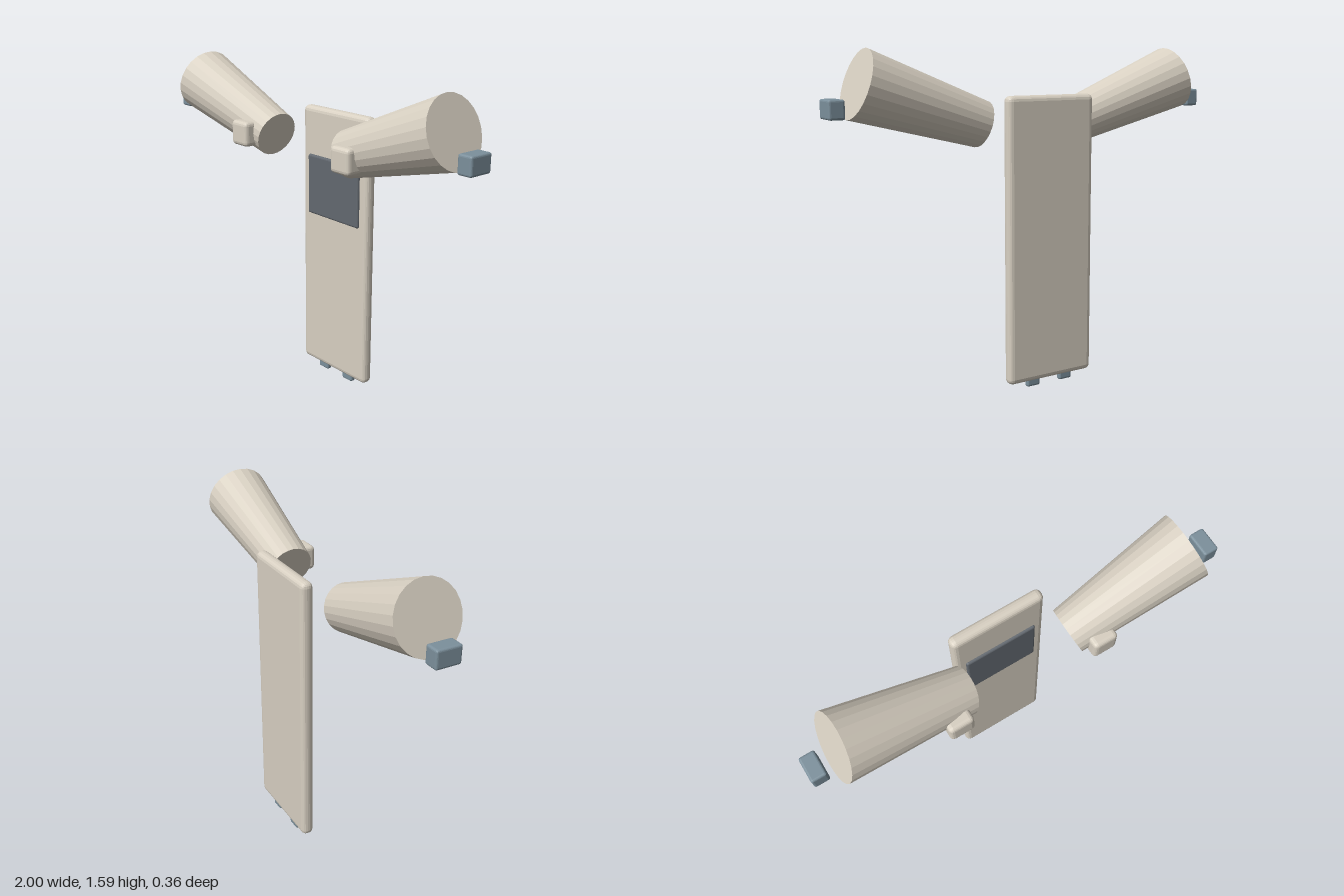
import * as THREE from 'three';
import { RoundedBoxGeometry } from 'three/addons/geometries/RoundedBoxGeometry.js';

const mat = (name, color, flatShading = false) => {
  const m = new THREE.MeshStandardMaterial({ color, flatShading });
  m.name = name;
  return m;
};

export function createModel() {
  const model = new THREE.Group();
  model.name = 'model';
  const beige = mat('warm beige', 0xd8d0c2, true);
  const slate = mat('slate blue', 0x7c909c, true);
  const dark = mat('dark grey', 0x636970, true);

  // Rounded block given by size and centre
  const block = (name, material, [w, h, d], [x, y, z], radius, parent = model) => {
    const mesh = new THREE.Mesh(new RoundedBoxGeometry(w, h, d, 2, radius), material);
    mesh.name = name;
    mesh.position.set(x, y, z);
    parent.add(mesh);
    return mesh;
  };

  // Tall back panel with its dark inset plate
  block('backPanel', beige, [0.46, 1.345, 0.06], [0, 0.7025, -0.15], 0.025);
  block('chestPlate', dark, [0.36, 0.3, 0.03], [0, 0.99, -0.123], 0.01);

  // Sleeve ends in the front plane
  const inner = new THREE.Vector3(0.2625, 1.241, 0.02);
  const outer = new THREE.Vector3(0.857, 1.435, 0.02);

  for (const side of [1, -1]) {
    const arm = new THREE.Group();
    arm.name = side > 0 ? 'leftArm' : 'rightArm';
    model.add(arm);

    // Flared sleeve, wide end outward
    const a = inner.clone(), b = outer.clone();
    a.x *= side;
    b.x *= side;
    const axis = b.clone().sub(a);
    const sleeve = new THREE.Mesh(
      new THREE.CylinderGeometry(0.158, 0.11, axis.length(), 24), beige);
    sleeve.name = 'sleeve';
    sleeve.position.copy(a).add(b).multiplyScalar(0.5);
    sleeve.quaternion.setFromUnitVectors(new THREE.Vector3(0, 1, 0), axis.normalize());
    arm.add(sleeve);

    // Front block on the sleeve, and the hand beyond it
    block('sleeveBlock', beige, [0.12, 0.12, 0.09], [side * 0.36, 1.25, 0.132], 0.02, arm);
    block('hand', slate, [0.072, 0.085, 0.12], [side * 0.964, 1.332, 0.022], 0.01, arm);

    // Small foot under the panel
    block('foot', slate, [0.07, 0.06, 0.03], [side * 0.09, 0.03, -0.15], 0.01);
  }
  return model;
}
